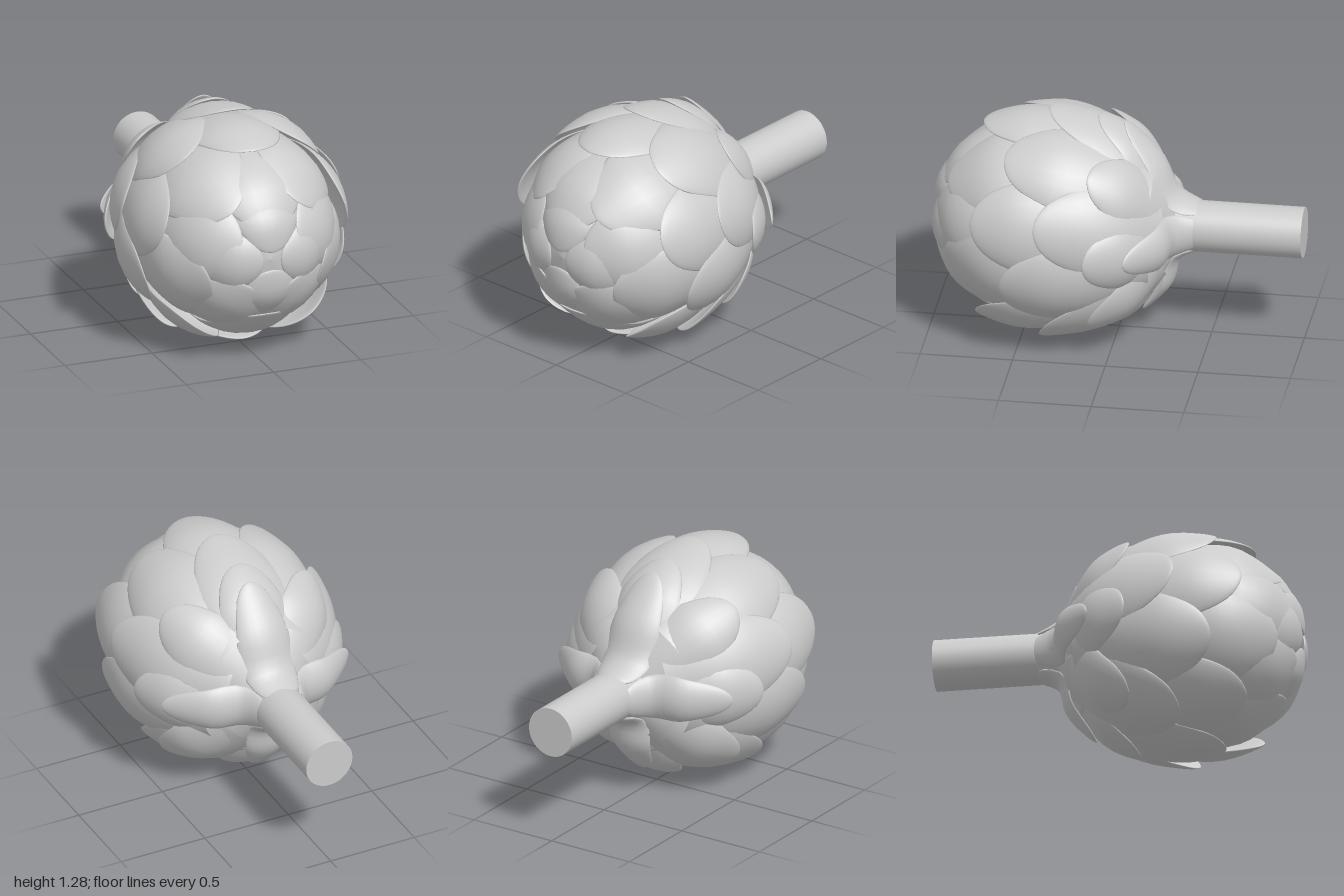
import * as THREE from 'three';

const CENTRE_Y = 0.625;
const material = new THREE.MeshStandardMaterial({ color: 0xcccccc, side: THREE.DoubleSide });

// Half-width along a scale: narrower base, broad middle, tapering to a rounded tip.
function widthAt(t) {
  if (t < 0.5) return 0.55 + 0.45 * Math.sin((t / 0.5) * Math.PI / 2);
  const s = (t - 0.5) / 0.5;
  return Math.pow(Math.max(0, 1 - Math.pow(s, 2)), 0.66);
}

// A thin lens-shaped scale swept along a (z, radius) midline and bent round the axis.
function scaleGeometry(midline, halfWidth, bend, thickness) {
  const rows = 16, sides = 24;
  const curve = new THREE.SplineCurve(midline.map(([z, r]) => new THREE.Vector2(z, r)));
  const positions = [], index = [];
  for (let i = 0; i <= rows; i++) {
    const t = Math.sin((i / rows) * Math.PI / 2);
    const p = curve.getPoint(t), d = curve.getTangent(t);
    const w = halfWidth * widthAt(t);
    const th = thickness * Math.sqrt(Math.max(0, 1 - Math.pow(t, 6)));
    for (let j = 0; j < sides; j++) {
      const a = (j / sides) * Math.PI * 2;
      const u = (Math.cos(a) * w) / bend;
      const height = bend * Math.cos(u) - bend + Math.sin(a) * th;
      positions.push(p.y + d.x * height, bend * Math.sin(u), p.x - d.y * height);
      if (i < rows) {
        const b = i * sides + j, c = i * sides + ((j + 1) % sides);
        index.push(b, b + sides, c, c, b + sides, c + sides);
      }
    }
  }
  const geometry = new THREE.BufferGeometry();
  geometry.setAttribute('position', new THREE.Float32BufferAttribute(positions, 3));
  geometry.setIndex(index);
  geometry.computeVertexNormals();
  return geometry;
}

// Rings from the closed bud back to the stem, placed at the given start angle.
const RINGS = [
  { name: 'budScale', count: 4, start: 90, width: 0.2, bend: 0.3,
    midline: [[0.5, 0.43], [0.8, 0.355], [0.95, 0.22], [0.985, 0.05]] },
  { name: 'innerScale', count: 5, start: 90, width: 0.28, bend: 0.4,
    midline: [[0.2, 0.48], [0.6, 0.485], [0.84, 0.375], [0.965, 0.18]] },
  { name: 'frontScale', count: 5, start: 270, width: 0.3, bend: 0.44,
    midline: [[0, 0.47], [0.35, 0.53], [0.65, 0.51], [0.895, 0.333]] },
  { name: 'upperMiddleScale', count: 5, start: 90, width: 0.28, bend: 0.42,
    midline: [[-0.1, 0.42], [0.2, 0.55], [0.48, 0.595], [0.73, 0.54]] },
  { name: 'middleScale', count: 5, start: 270, width: 0.28, bend: 0.42,
    midline: [[-0.2, 0.36], [0.05, 0.53], [0.3, 0.61], [0.57, 0.59]] },
  { name: 'lowerMiddleScale', count: 5, start: 90, width: 0.27, bend: 0.42,
    midline: [[-0.26, 0.26], [-0.1, 0.46], [0.1, 0.58], [0.375, 0.645]] },
  { name: 'backScale', count: 8, start: 270, width: 0.21, bend: 0.32,
    midline: [[-0.31, 0.13], [-0.2, 0.35], [-0.08, 0.51], [0.11, 0.615]] },
  // Bracts curling away from the stem, each with its own spread
  { name: 'topBract', count: 1, start: 90, width: 0.17, bend: 0.27,
    midline: [[-0.44, 0.115], [-0.31, 0.19], [-0.22, 0.38], [-0.03, 0.585]] },
  { name: 'sideBract', count: 2, start: 0, width: 0.14, bend: 0.24,
    midline: [[-0.44, 0.115], [-0.32, 0.19], [-0.275, 0.36], [-0.1, 0.56]] },
  { name: 'bottomBract', count: 1, start: 270, width: 0.14, bend: 0.24,
    midline: [[-0.44, 0.115], [-0.32, 0.18], [-0.275, 0.34], [-0.13, 0.51]] },
];

export function createModel() {
  const model = new THREE.Group();
  model.name = 'artichoke';

  // Everything is arranged round the long axis of the bud.
  const head = new THREE.Group();
  head.name = 'head';
  head.position.y = CENTRE_Y;
  model.add(head);

  // Solid heart beneath the scales
  const heartCurve = new THREE.SplineCurve([
    [0, -0.34], [0.14, -0.31], [0.28, -0.2], [0.42, -0.01], [0.47, 0.25],
    [0.45, 0.5], [0.36, 0.75], [0.2, 0.91], [0, 0.955],
  ].map(([r, z]) => new THREE.Vector2(r, z)));
  const heartPoints = heartCurve.getPoints(32).map((p) => p.set(Math.max(0, p.x), p.y));
  const heart = new THREE.Mesh(new THREE.LatheGeometry(heartPoints, 48), material);
  heart.name = 'heart';
  heart.rotation.x = Math.PI / 2;
  head.add(heart);

  // Stem, cut flat at its end
  const stem = new THREE.Mesh(new THREE.CylinderGeometry(0.138, 0.138, 0.74, 40), material);
  stem.name = 'stem';
  stem.rotation.x = Math.PI / 2;
  stem.position.set(0.008, 0, -0.63);
  head.add(stem);

  // Flare joining the stem to the head
  const flare = new THREE.Mesh(new THREE.LatheGeometry(
    [[0.137, -0.42], [0.141, -0.36], [0.155, -0.31], [0.19, -0.275], [0.25, -0.22]]
      .map(([r, z]) => new THREE.Vector2(r, z)), 40), material);
  flare.name = 'stemFlare';
  flare.rotation.x = Math.PI / 2;
  head.add(flare);

  // Overlapping scales in staggered rings
  for (const ring of RINGS) {
    const geometry = scaleGeometry(ring.midline, ring.width, ring.bend, 0.018);
    const group = new THREE.Group();
    group.name = ring.name + 'Ring';
    for (let i = 0; i < ring.count; i++) {
      const scale = new THREE.Mesh(geometry, material);
      scale.name = ring.name;
      scale.rotation.z = THREE.MathUtils.degToRad(ring.start + (i * 360) / ring.count);
      group.add(scale);
    }
    head.add(group);
  }
  return model;
}
